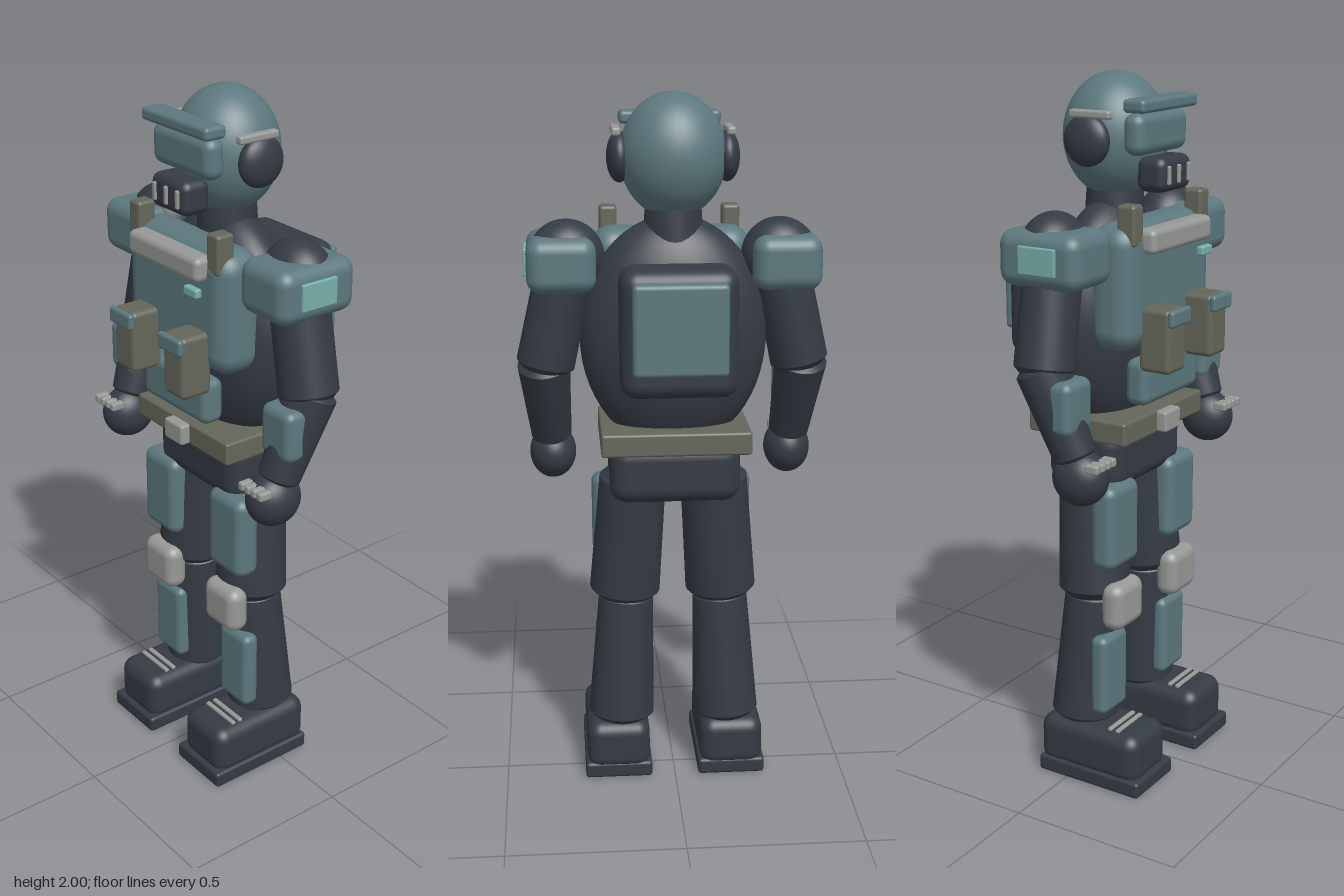
import * as THREE from 'three';
import { toCreasedNormals } from 'three/addons/utils/BufferGeometryUtils.js';
import { RoundedBoxGeometry } from 'three/addons/geometries/RoundedBoxGeometry.js';

const mat = (name, color) => {
  const m = new THREE.MeshStandardMaterial({ color });
  m.name = name;
  return m;
};

export function createModel() {
  const root = new THREE.Group();
  root.name = 'armouredFigure';
  const suit = mat('darkSuit', 0x353b44);
  const armour = mat('tealArmour', 0x5c787e);
  const metal = mat('lightGrey', 0x979997);
  const canvas = mat('oliveBrown', 0x65675b);
  const mint = mat('mintMarking', 0x78aeaa);

  const add = (name, geo, material, x = 0, y = 0, z = 0) => {
    const mesh = new THREE.Mesh(geo, material);
    mesh.name = name;
    mesh.position.set(x, y, z);
    root.add(mesh);
    return mesh;
  };
  // Rounded box given by centre, size and edge radius
  const box = (name, material, [x, y, z], [w, h, d], r = 0.02) =>
    add(name, new RoundedBoxGeometry(w, h, d, 4, Math.min(r, w * 0.49, h * 0.49, d * 0.49)), material, x, y, z);
  const ball = (name, material, [x, y, z], [rx, ry, rz]) =>
    add(name, new THREE.SphereGeometry(1, 40, 28).scale(rx, ry, rz), material, x, y, z);
  // Tapered limb with bevelled ends between two points
  const limb = (name, from, to, r0, r1, bevel = 0.018) => {
    const a = new THREE.Vector3(...from), b = new THREE.Vector3(...to);
    const len = a.distanceTo(b);
    const profile = [[0, 0], [r0 - bevel, 0], [r0, bevel], [r1, len - bevel], [r1 - bevel, len], [0, len]];
    const lathe = new THREE.LatheGeometry(profile.map(p => new THREE.Vector2(...p)), 28);
    const mesh = add(name, toCreasedNormals(lathe, 0.6), suit, ...from);
    mesh.quaternion.setFromUnitVectors(new THREE.Vector3(0, 1, 0), b.sub(a).normalize());
  };

  // Head and helmet
  ball('helmet', armour, [0, 1.83, 0.003], [0.147, 0.17, 0.143]);
  box('brow', armour, [0, 1.921, 0.144], [0.284, 0.036, 0.068], 0.012);
  box('visor', armour, [0, 1.845, 0.128], [0.254, 0.112, 0.064], 0.03);
  box('mouthGuard', suit, [0, 1.738, 0.155], [0.156, 0.094, 0.088], 0.025);
  for (const x of [-0.05, 0, 0.05]) box('mouthSlat', metal, [x, 1.738, 0.199], [0.013, 0.05, 0.014], 0.004);
  limb('neck', [0, 1.58, 0], [0, 1.7, 0], 0.085, 0.078, 0.01);

  // Torso
  ball('torso', suit, [0, 1.335, 0], [0.262, 0.335, 0.143]);
  box('chestPlate', armour, [0, 1.45, 0.115], [0.45, 0.345, 0.145], 0.06);
  box('bellyPlate', armour, [0, 1.185, 0.155], [0.29, 0.13, 0.07], 0.025);
  box('collarBar', metal, [0, 1.575, 0.19], [0.312, 0.068, 0.062], 0.018);
  box('chestBadge', mint, [0.127, 1.514, 0.212], [0.056, 0.026, 0.022], 0.006);
  box('belt', canvas, [0, 1.053, 0.006], [0.42, 0.066, 0.316], 0.008);
  box('buckle', metal, [0, 1.053, 0.175], [0.082, 0.06, 0.036], 0.008);
  box('pelvis', suit, [0, 0.955, 0], [0.37, 0.18, 0.24], 0.05);

  // Backpack
  box('backpack', suit, [0, 1.385, -0.183], [0.318, 0.35, 0.162], 0.045);
  box('backpackPanel', armour, [0, 1.405, -0.272], [0.256, 0.25, 0.034], 0.014);

  for (const s of [-1, 1]) {
    // Helmet sides
    ball('earCup', suit, [s * 0.147, 1.827, 0.005], [0.035, 0.069, 0.069]);
    box('helmetRail', metal, [s * 0.156, 1.897, 0.024], [0.025, 0.022, 0.126], 0.007);

    // Straps and pouches
    box('shoulderStrap', canvas, [s * 0.174, 1.62, 0.157], [0.05, 0.11, 0.056], 0.01);
    box('pouch', canvas, [s * 0.113, 1.313, 0.222], [0.092, 0.176, 0.096], 0.015);
    box('pouchFlap', armour, [s * 0.113, 1.378, 0.274], [0.1, 0.046, 0.02], 0.009);

    // Shoulder and arm
    ball('shoulder', suit, [s * 0.295, 1.555, 0], [0.106, 0.106, 0.09]);
    box('shoulderPad', armour, [s * 0.31, 1.545, 0.013], [0.19, 0.15, 0.252], 0.04);
    box('shoulderMark', mint, [s * 0.406, 1.548, 0.022], [0.014, 0.074, 0.115], 0.004);
    limb('upperArm', [s * 0.362, 1.238, 0.008], [s * 0.298, 1.53, 0], 0.082, 0.08);
    limb('forearm', [s * 0.345, 1.01, 0.1], [s * 0.365, 1.27, 0], 0.058, 0.074);
    box('forearmPlate', armour, [s * 0.355, 1.163, 0.082], [0.122, 0.148, 0.08], 0.025);
    ball('hand', suit, [s * 0.343, 0.967, 0.11], [0.067, 0.078, 0.08]);
    for (let i = 0; i < 4; i++)
      box('knuckle', metal, [s * (0.307 + i * 0.026), 1.012, 0.175], [0.021, 0.024, 0.04], 0.006);

    // Leg
    limb('thigh', [s * 0.143, 0.545, 0.025], [s * 0.115, 0.94, 0], 0.103, 0.096, 0.025);
    limb('shin', [s * 0.157, 0.165, -0.003], [s * 0.138, 0.56, 0.015], 0.097, 0.08);
    box('thighPlate', armour, [s * 0.157, 0.777, 0.1], [0.152, 0.246, 0.078], 0.03);
    box('kneePad', metal, [s * 0.15, 0.54, 0.12], [0.142, 0.138, 0.07], 0.032);
    box('shinPlate', armour, [s * 0.163, 0.325, 0.083], [0.128, 0.24, 0.054], 0.022);

    // Boot
    box('boot', suit, [s * 0.168, 0.1, 0.065], [0.186, 0.15, 0.33], 0.04);
    box('bootSole', suit, [s * 0.168, 0.024, 0.074], [0.198, 0.048, 0.338], 0.01);
    for (const z of [0.13, 0.155]) box('bootLace', metal, [s * 0.168, 0.175, z], [0.13, 0.012, 0.014], 0.004);
  }
  return root;
}
